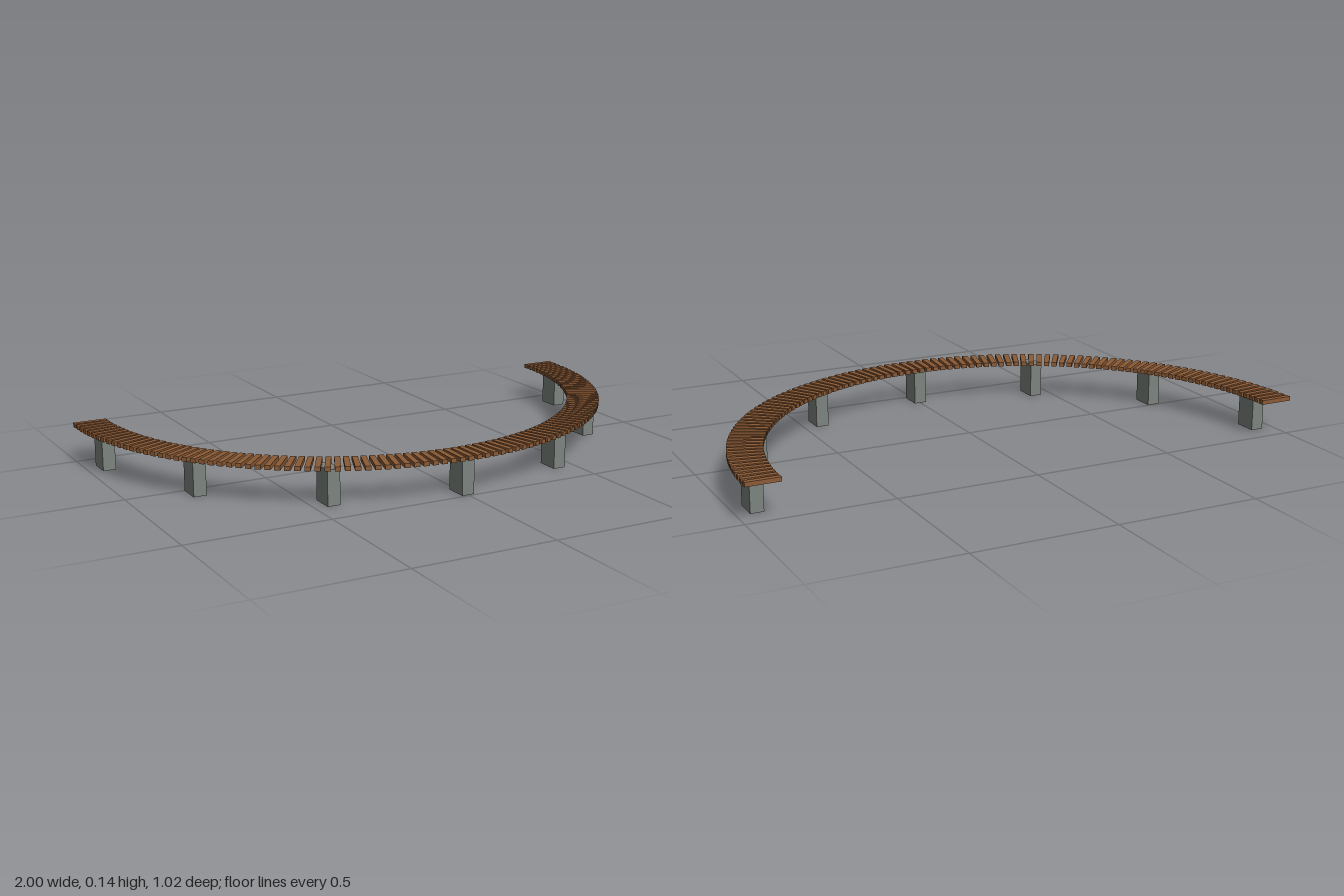
import * as THREE from 'three';

const PLANKS = 99;
const RADIUS_X = 0.941, RADIUS_Z = 0.955, CENTRE_Z = -0.503;

// Point on the walkway centre line for plank number i
function place(mesh, i, y) {
  const a = (Math.PI * i) / (PLANKS - 1);
  mesh.position.set(RADIUS_X * Math.cos(a), y, CENTRE_Z + RADIUS_Z * Math.sin(a));
  return a;
}

export function createModel() {
  const model = new THREE.Group();
  model.name = 'curvedBoardwalk';

  const wood = new THREE.MeshStandardMaterial({ color: 0x8b5a35 });
  wood.name = 'brown wood';
  const stone = new THREE.MeshStandardMaterial({ color: 0x7c837e });
  stone.name = 'grey stone';

  // Deck: separate planks fanned along a half ring
  const deck = new THREE.Group();
  deck.name = 'deck';
  const plankGeometry = new THREE.BoxGeometry(0.118, 0.015, 0.0195);
  for (let i = 0; i < PLANKS; i++) {
    const plank = new THREE.Mesh(plankGeometry, wood);
    plank.name = 'plank';
    plank.rotation.y = -place(plank, i, 0.13);
    deck.add(plank);
  }
  model.add(deck);

  // Supports: upright blocks under every fifteenth plank, all facing forward
  const supports = new THREE.Group();
  supports.name = 'supports';
  const height = 0.123;
  const pillarGeometry = new THREE.BoxGeometry(0.045, height, 0.081);
  for (let i = 4; i < PLANKS; i += 15) {
    const pillar = new THREE.Mesh(pillarGeometry, stone);
    pillar.name = 'pillar';
    place(pillar, i, height / 2);
    supports.add(pillar);
  }
  model.add(supports);

  return model;
}
